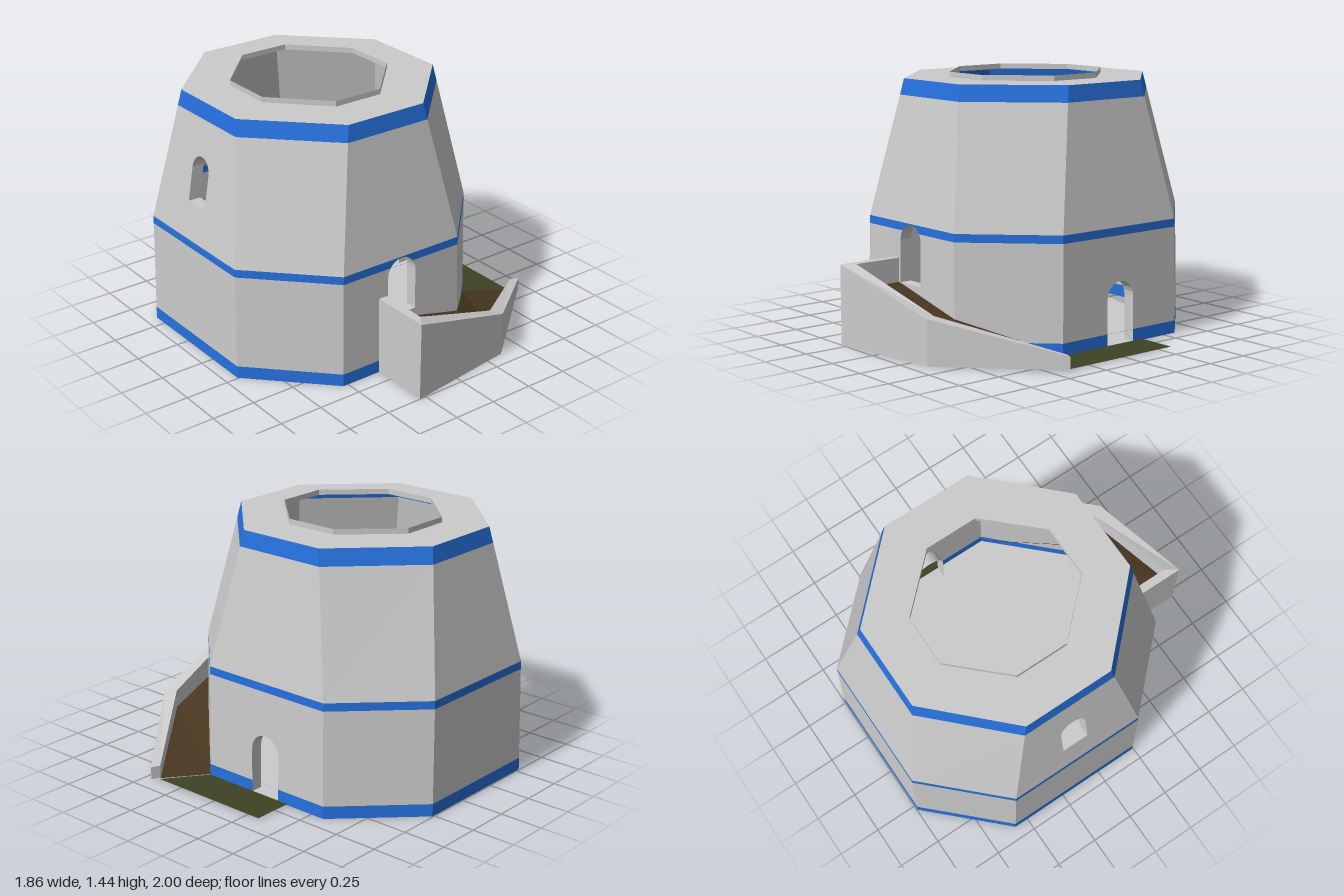
import * as THREE from 'three';

const CX = -0.135, CZ = -0.17;
const mat = (color) => new THREE.MeshStandardMaterial({ color, side: THREE.DoubleSide, flatShading: true });
const lerp = THREE.MathUtils.lerp;

// Tower sections: [y, half width x, half width z, half edge x, half edge z]
const LEVELS = [
  [0, 0.795, 0.825, 0.395, 0.413],
  [0.645, 0.785, 0.815, 0.385, 0.405],
  [1.41, 0.655, 0.672, 0.245, 0.26],
];

// Eight corners, counterclockwise seen from above, starting with the front face
function octagon([y, hx, hz, ex, ez]) {
  return [[-ex, hz], [ex, hz], [hx, ez], [hx, -ez], [ex, -hz], [-ex, -hz], [-hx, -ez], [-hx, ez]]
    .map(([x, z]) => new THREE.Vector3(CX + x, y, CZ + z));
}

function sectionAt(y) {
  const k = y <= 0.645 ? 0 : 1, a = LEVELS[k], b = LEVELS[k + 1];
  const t = (y - a[0]) / (b[0] - a[0]);
  return octagon(a.map((v, i) => lerp(v, b[i], t)));
}

// Point on a face: s runs 0..1 along the face, y is height
function onFace(face, s, y) {
  const c = sectionAt(y);
  return c[face].clone().lerp(c[(face + 1) % 8], s);
}
const faceWidth = (face, y) => {
  const c = sectionAt(y);
  return c[face].distanceTo(c[(face + 1) % 8]);
};

// Round-topped openings: face, width, bottom, top
const OPENINGS = [
  { name: 'frontDoor', face: 0, w: 0.185, y0: 0.31, y1: 0.64, inward: [0, 0, -1] },
  { name: 'rightDoor', face: 2, w: 0.19, y0: 0.004, y1: 0.35, inward: [-1, 0, 0] },
  { name: 'leftWindow', face: 6, w: 0.155, y0: 0.85, y1: 1.12, inward: [1, 0, 0] },
];

function archOutline({ w, y0, y1 }) {
  const r = w / 2, pts = [[-r, y0], [r, y0]];
  for (let i = 0; i <= 12; i++) {
    const a = (i / 12) * Math.PI;
    pts.push([r * Math.cos(a), y1 - r + r * Math.sin(a)]);
  }
  return pts;
}

// Keep the part of a polygon on one side of a horizontal line
function clip(pts, y, sign) {
  const out = [];
  pts.forEach((p, i) => {
    const q = pts[(i + 1) % pts.length];
    const dp = (p[1] - y) * sign, dq = (q[1] - y) * sign;
    if (dp >= 0) out.push(p);
    if (dp * dq < 0) out.push([lerp(p[0], q[0], dp / (dp - dq)), y]);
  });
  return out;
}

// One flat wall strip, cut by any opening that crosses it
function wallStrip(face, y0, y1) {
  const shape = new THREE.Shape([[0, y0], [1, y0], [1, y1], [0, y1]].map((p) => new THREE.Vector2(...p)));
  for (const o of OPENINGS.filter((d) => d.face === face)) {
    const cut = clip(clip(archOutline(o), y0 + 0.0005, 1), y1 - 0.0005, -1);
    if (cut.length > 2) {
      shape.holes.push(new THREE.Path(cut.map(([u, y]) => new THREE.Vector2(0.5 + u / faceWidth(face, y), y))));
    }
  }
  const g = new THREE.ShapeGeometry(shape), p = g.attributes.position;
  for (let i = 0; i < p.count; i++) {
    const v = onFace(face, p.getX(i), p.getY(i));
    p.setXYZ(i, v.x, v.y, v.z);
  }
  g.computeVertexNormals();
  return g;
}

// Skin between rows of points; rows and rings may be closed
function loft(rows, closed) {
  const n = rows[0].length, pos = [], idx = [];
  rows.forEach((r) => r.forEach((v) => pos.push(v.x, v.y, v.z)));
  for (let j = 0; j < rows.length - 1; j++) {
    for (let i = 0; i < (closed ? n : n - 1); i++) {
      const a = j * n + i, b = j * n + ((i + 1) % n);
      idx.push(a, b, b + n, a, b + n, a + n);
    }
  }
  const g = new THREE.BufferGeometry();
  g.setAttribute('position', new THREE.Float32BufferAttribute(pos, 3));
  g.setIndex(idx);
  g.computeVertexNormals();
  return g;
}

// Horizontal sheet from [x, z] corners
function sheet(points, y, hole) {
  const toV2 = ([x, z]) => new THREE.Vector2(x, -z);
  const shape = new THREE.Shape(points.map(toV2));
  if (hole) shape.holes.push(new THREE.Path(hole.map(toV2)));
  return new THREE.ShapeGeometry(shape).rotateX(-Math.PI / 2).translate(0, y, 0);
}
const xz = (pts) => pts.map((v) => [v.x, v.z]);

export function createModel() {
  const model = new THREE.Group();
  const grey = mat(0xcccccc), blue = mat(0x2670dc), brown = mat(0x483621), green = mat(0x3e4326);
  const add = (parent, name, geometry, material) => {
    const m = new THREE.Mesh(geometry, material);
    m.name = name;
    parent.add(m);
  };

  // Tower walls and painted bands
  const tower = new THREE.Group();
  tower.name = 'tower';
  model.add(tower);
  const strips = [
    ['baseBand', 0, 0.07, blue], ['lowerWall', 0.07, 0.6, grey], ['middleBand', 0.6, 0.645, blue],
    ['upperWall', 0.645, 1.32, grey], ['topBand', 1.32, 1.41, blue],
  ];
  for (const [name, y0, y1, material] of strips) {
    for (let f = 0; f < 8; f++) add(tower, name, wallStrip(f, y0, y1), material);
  }

  // Reveals of the doors and window
  for (const o of OPENINGS) {
    const outer = archOutline(o).map(([u, y]) => onFace(o.face, 0.5 + u / faceWidth(o.face, y), y));
    const step = new THREE.Vector3(...o.inward).multiplyScalar(0.07);
    add(tower, o.name + 'Reveal', loft([outer, outer.map((v) => v.clone().add(step))], true), grey);
  }

  // Roof ring, raised rim and floor
  const holeEdge = octagon([1.41, 0.432, 0.452, 0.15, 0.157]);
  add(tower, 'roof', sheet(xz(sectionAt(1.41)), 1.41, xz(holeEdge)), grey);
  const rim = [1.41, 1.44].map((y) => octagon([y, 0.416, 0.435, 0.145, 0.152]));
  add(tower, 'roofRim', loft([holeEdge, ...rim], true), grey);
  const base = xz(sectionAt(0));
  base[4] = [lerp(base[3][0], base[4][0], 0.28), lerp(base[3][1], base[4][1], 0.28)];
  add(tower, 'floor', sheet(base, 0.002), grey);

  // Ramp winding up to the front door
  const V = (x, y, z) => new THREE.Vector3(x, y, z);
  add(model, 'ramp', loft([
    [V(-0.24, 0.31, 0.93), V(0.33, 0.15, 0.84), V(0.88, 0.01, 0.41)],
    [V(-0.24, 0.31, 0.645), V(0.26, 0.19, 0.645), V(0.66, 0.01, 0.24)],
  ], false), brown);

  // Parapet: outer x z, inner x z, top, bottom
  const stations = [
    [-0.29, 0.65, -0.24, 0.65, 0.445, 0],
    [-0.29, 1.0, -0.24, 0.93, 0.445, 0],
    [0.36, 0.91, 0.33, 0.84, 0.25, 0],
    [0.93, 0.43, 0.88, 0.41, 0.085, 0.015],
  ].map(([ox, oz, ix, iz, t, b]) => [V(ox, b, oz), V(ox, t, oz), V(ix, t, iz), V(ix, b, iz)]);
  add(model, 'parapet', loft(stations, true), grey);
  for (const s of [stations[0], stations[3]]) {
    add(model, 'parapetEnd', loft([[s[0], s[1]], [s[3], s[2]]], false), grey);
  }

  // Grass strip by the right door
  add(model, 'grass', sheet([[0.66, 0.24], [0.885, 0.41], [0.885, -0.33], [0.66, -0.33]], 0.006), green);
  return model;
}
